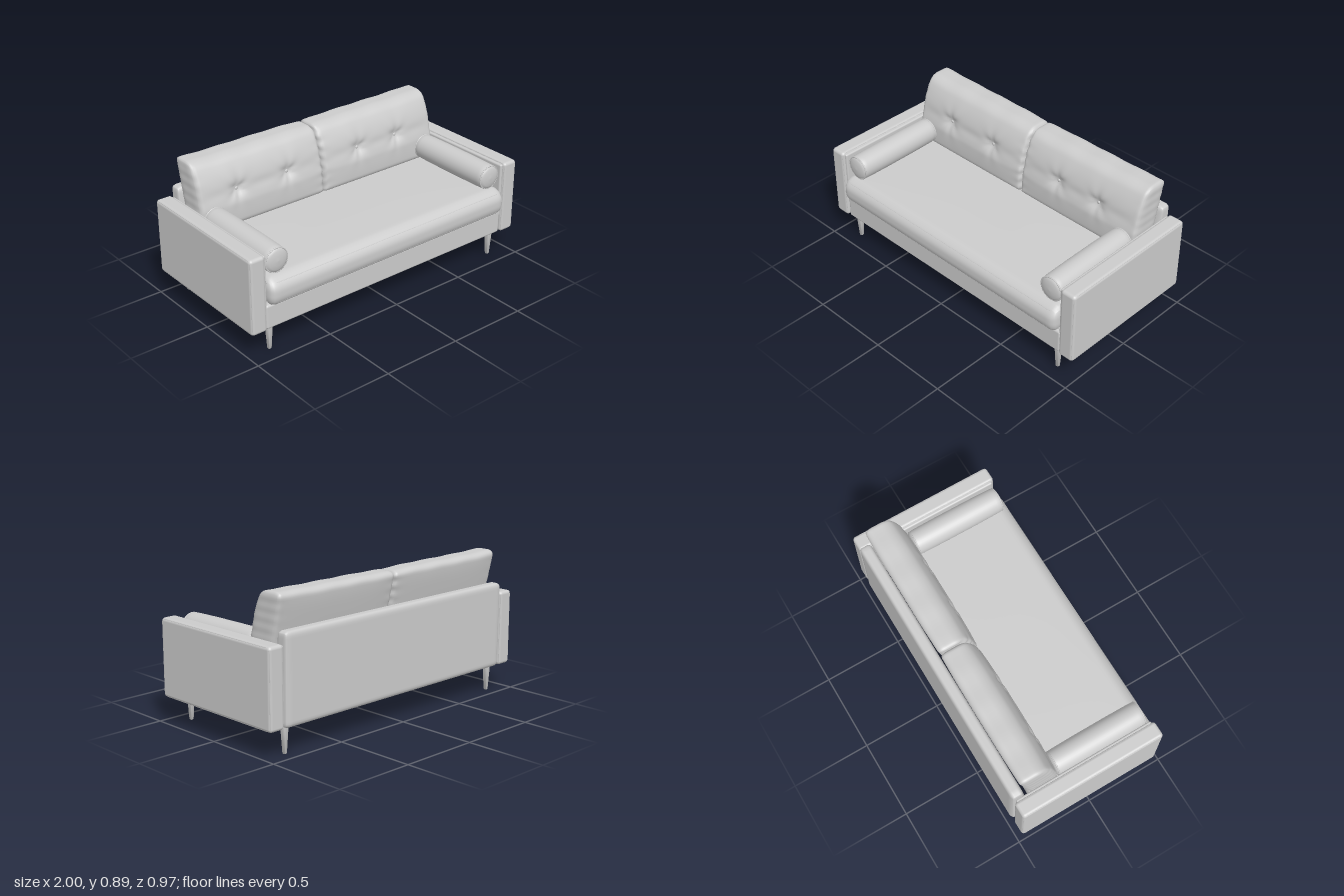
import * as THREE from 'three';
import { mergeVertices, toCreasedNormals } from 'three/addons/utils/BufferGeometryUtils.js';
import { RoundedBoxGeometry } from 'three/addons/geometries/RoundedBoxGeometry.js';

const material = new THREE.MeshStandardMaterial({ color: 0xcccccc });

function add(parent, name, geometry, x = 0, y = 0, z = 0) {
  const mesh = new THREE.Mesh(geometry, material);
  mesh.name = name;
  mesh.position.set(x, y, z);
  parent.add(mesh);
  return mesh;
}

// Box with elliptical edge rounding, followed by a deformation of every vertex
function softBox(size, radius, segments, deform) {
  const box = new THREE.BoxGeometry(...size, ...segments);
  box.deleteAttribute('uv');
  box.deleteAttribute('normal');
  const geometry = mergeVertices(box, 1e-5);
  const pos = geometry.attributes.position;
  const p = new THREE.Vector3(), inner = new THREE.Vector3();
  const r = new THREE.Vector3(...radius);
  const limit = new THREE.Vector3(...size).multiplyScalar(0.5).sub(r);
  const low = limit.clone().negate();
  for (let i = 0; i < pos.count; i++) {
    p.fromBufferAttribute(pos, i);
    inner.copy(p).clamp(low, limit);
    p.sub(inner).divide(r).normalize().multiply(r).add(inner);
    deform(p);
    pos.setXYZ(i, p.x, p.y, p.z);
  }
  geometry.computeVertexNormals();
  return geometry;
}

// Thin closed cord along a rounded rectangle in the XY plane
function piping(w, h, r, thickness) {
  const points = [];
  for (let c = 0; c < 4; c++) {
    const sx = c === 0 || c === 3 ? 1 : -1, sy = c < 2 ? 1 : -1;
    for (let k = 0; k <= 6; k++) {
      const a = (c + k / 6) * Math.PI / 2;
      points.push(new THREE.Vector3(sx * (w / 2 - r) + r * Math.cos(a), sy * (h / 2 - r) + r * Math.sin(a), 0));
    }
  }
  const path = new THREE.CurvePath();
  points.forEach((p, i) => path.add(new THREE.LineCurve3(p, points[(i + 1) % points.length])));
  return new THREE.TubeGeometry(path, 160, thickness, 6, true);
}

// Arm: padded slab with corded edges and a thin lining towards the seat
function addArm(group, side) {
  const arm = new THREE.Group();
  arm.name = side > 0 ? 'leftArm' : 'rightArm';
  add(arm, 'armPanel', new RoundedBoxGeometry(0.102, 0.47, 0.935, 5, 0.02), side * 0.949, 0.394, -0.0115);
  add(arm, 'armLining', new RoundedBoxGeometry(0.025, 0.35, 0.9, 3, 0.01), side * 0.8965, 0.443, -0.012);
  for (const x of [0.906, 0.992]) {
    const cord = piping(0.92, 0.455, 0.016, 0.004);
    cord.rotateY(Math.PI / 2);
    add(arm, 'armPiping', cord, side * x, 0.394, -0.0115);
  }
  group.add(arm);
}

// Back cushion: plump, tufted, gathered at the sides and leaning backwards
function addBackCushion(group, side, buttons) {
  const cushion = new THREE.Group();
  cushion.name = side > 0 ? 'leftBackCushion' : 'rightBackCushion';
  const w = 0.883, h = 0.42, d = 0.19, tuftY = 0.01;
  const deform = (p) => {
    const u = p.x / (w / 2), v = p.y / (h / 2), face = p.z / (d / 2);
    const front = 0.5 + 0.5 * face;
    const plump = Math.max(0, (1 - u ** 4) * (1 - v ** 4));
    let z = p.z + face * 0.012 * plump;
    if (face > 0) {
      for (const bx of buttons) {
        const dx = p.x - bx, dy = p.y - tuftY, rr = Math.hypot(dx, dy);
        z -= face * 0.02 * Math.exp(-((rr / 0.045) ** 2));
        z += face * 0.003 * Math.exp(-((rr / 0.1) ** 2)) * Math.cos(6 * Math.atan2(dy, dx)) * Math.min(1, rr / 0.04);
      }
      z -= face * 0.006 * Math.exp(-(((p.y - tuftY) / 0.03) ** 2)) * plump;
    }
    // Front rolls back towards the top and tucks in at the bottom
    const top = Math.max(0, (v - 0.2) / 0.8), bottom = Math.max(0, -v - 0.3) / 0.7;
    z -= (0.036 * top * top + 0.025 * bottom) * front;
    // Gathers, strongest where the two cushions meet
    const seam = Math.abs(u) ** 14 * (u * side < 0 ? 1 : 0.35);
    z += 0.003 * Math.sin(p.y * 95) * seam;
    p.x += 0.003 * Math.sin(p.y * 110 + 1) * seam;
    if (v > 0) p.y += v * (0.0015 * Math.sin(p.x * 28) + 0.006 * (u * side) ** 3);
    p.z = z - 0.23 * p.y;
  };
  const cx = side * 0.443, cy = 0.676, cz = -0.291;
  add(cushion, 'cushionBody', softBox([w, h, d], [0.018, 0.035, 0.06], [72, 36, 16], deform), cx, cy, cz);
  for (const bx of buttons) {
    const p = new THREE.Vector3(bx, tuftY, d / 2);
    deform(p);
    const button = add(cushion, 'tuftButton', new THREE.SphereGeometry(0.011, 14, 10), cx + p.x, cy + p.y, cz + p.z);
    button.scale.z = 0.6;
  }
  group.add(cushion);
}

// Bolster: cylinder with softly domed ends and corded rims, lying front to back
function addBolster(group, side) {
  const bolster = new THREE.Group();
  bolster.name = side > 0 ? 'leftBolster' : 'rightBolster';
  const half = [[0, 0.31], [0.03, 0.308], [0.055, 0.303], [0.07, 0.296], [0.076, 0.285], [0.078, 0.262], [0.079, 0.2], [0.08, 0.1]];
  const profile = [
    ...half.map(([r, y]) => new THREE.Vector2(r, -y)),
    ...half.slice().reverse().map(([r, y]) => new THREE.Vector2(r, y)),
  ];
  const body = new THREE.LatheGeometry(profile, 40);
  body.rotateX(Math.PI / 2);
  add(bolster, 'bolsterBody', body);
  for (const z of [-0.292, 0.292]) add(bolster, 'bolsterPiping', new THREE.TorusGeometry(0.0735, 0.004, 8, 40), 0, 0, z);
  bolster.position.set(side * 0.802, 0.559, 0.128);
  bolster.rotation.x = 0.01;
  group.add(bolster);
}

export function createModel() {
  const sofa = new THREE.Group();
  sofa.name = 'sofa';

  for (const side of [-1, 1]) {
    addArm(sofa, side);
    addBolster(sofa, side);
    // Tapered legs
    for (const z of [0.397, -0.42]) {
      const leg = new THREE.LatheGeometry(
        [[0, 0], [0.009, 0], [0.0125, 0.004], [0.0235, 0.165], [0, 0.165]].map(([r, y]) => new THREE.Vector2(r, y)), 24);
      add(sofa, z > 0 ? 'frontLeg' : 'backLeg', toCreasedNormals(leg, 0.8), side * 0.85, 0, z);
    }
  }

  // Frame, open underneath
  add(sofa, 'frontRail', new RoundedBoxGeometry(1.79, 0.15, 0.11, 4, 0.014), 0, 0.233, 0.388);

  // Backrest: its front face leans, so it is thick at the bottom and thin at the top
  const backrest = softBox([1.776, 0.534, 0.1], [0.018, 0.028, 0.028], [80, 40, 12], (p) => {
    const front = p.z / 0.1 + 0.5;
    p.z += front * (0.033 - 0.06 * (p.y / 0.534 + 0.5));
  });
  add(sofa, 'backrest', backrest, 0, 0.424, -0.435);

  // Seat cushion: slight crown, front edge rolling over and bulging lowest at the middle
  const seat = softBox([1.772, 0.17, 0.84], [0.04, 0.07, 0.05], [80, 20, 44], (p) => {
    const u = p.x / 0.886, v = p.z / 0.42;
    if (p.y > 0) p.y += 0.005 * (1 - u ** 4) * (1 - v ** 4);
    const roll = Math.max(0, (v - 0.6) / 0.4);
    if (p.y > 0) p.z -= 0.03 * roll * (p.y / 0.085) ** 2;
  });
  add(sofa, 'seatCushion', seat, 0, 0.388, 0.066);
  add(sofa, 'seatPiping', piping(1.752, 0.81, 0.04, 0.0045).rotateX(Math.PI / 2), 0, 0.328, 0.066);
  add(sofa, 'seatPiping', piping(1.756, 0.8, 0.04, 0.0045).rotateX(Math.PI / 2), 0, 0.443, 0.0605);

  addBackCushion(sofa, -1, [-0.177, 0.183]);
  addBackCushion(sofa, 1, [-0.163, 0.143]);
  return sofa;
}
